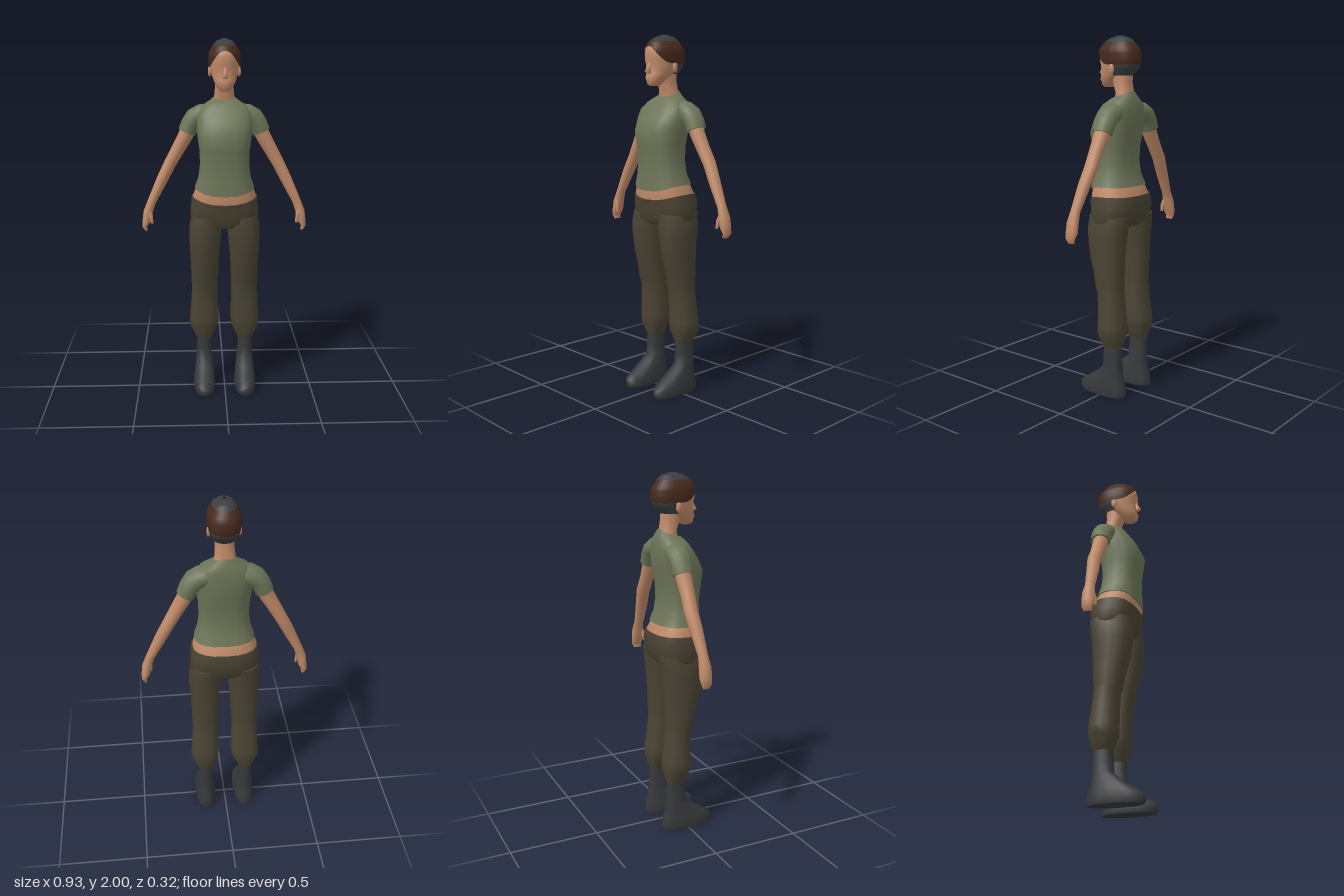
import * as THREE from 'three';

const mat = (name, color, extra = {}) => Object.assign(new THREE.MeshStandardMaterial({ color, ...extra }), { name });

// Rounded-square trig: exponent 2 is an ellipse, higher is boxier.
const sup = (v, e) => Math.sign(v) * Math.pow(Math.abs(v), 2 / e);

// Horizontal cross-section; sag lowers the front, lift raises the back.
function ring(y, cx, rx, zf, zb, { n = 20, e = 2.3, sag = 0, lift = 0 } = {}) {
  const cz = (zf + zb) / 2, rz = (zf - zb) / 2, pts = [];
  for (let j = 0; j < n; j++) {
    const t = (j / n) * Math.PI * 2, c = Math.cos(t), s = Math.sin(t);
    const dy = s > 0 ? -sag * s * s : lift * s * s;
    pts.push([cx + rx * sup(c, e), y + dy, cz + rz * sup(s, e)]);
  }
  return pts;
}

// Cross-sections [x, y, z, ru, rz] square to a path in a plane of constant z.
function limb(path, n = 12) {
  return path.map(([x, y, z, ru, rz], i) => {
    const a = path[Math.max(i - 1, 0)], b = path[Math.min(i + 1, path.length - 1)];
    const l = Math.hypot(b[0] - a[0], b[1] - a[1]);
    const dx = (b[0] - a[0]) / l, dy = (b[1] - a[1]) / l, pts = [];
    for (let j = 0; j < n; j++) {
      const t = (j / n) * Math.PI * 2, u = ru * Math.cos(t);
      pts.push([x + dy * u, y - dx * u, z + rz * Math.sin(t)]);
    }
    return pts;
  });
}

// Smooth skin over rings, with flat caps; side -1 mirrors in x.
function loft(name, rings, material, side = 1, closed = true) {
  const pos = [], idx = [], n = rings[0].length;
  const put = (p) => pos.push(p[0] * side, p[1], p[2]) / 3 - 1;
  const tri = (a, b, c) => (side > 0 ? idx.push(a, b, c) : idx.push(a, c, b));
  rings.forEach((r) => r.forEach(put));
  for (let i = 0; i < rings.length - 1; i++) {
    for (let j = 0; j < (closed ? n : n - 1); j++) {
      const k = (j + 1) % n, a = i * n + j, b = i * n + k;
      tri(a, a + n, b);
      tri(b, a + n, b + n);
    }
  }
  if (closed) {
    [rings[0], rings[rings.length - 1]].forEach((r, end) => {
      const mid = put([0, 1, 2].map((k) => r.reduce((s, p) => s + p[k], 0) / n));
      const first = pos.length / 3;
      r.forEach(put);
      for (let j = 0; j < n; j++) {
        const a = first + j, b = first + ((j + 1) % n);
        end ? tri(mid, b, a) : tri(mid, a, b);
      }
    });
  }
  const g = new THREE.BufferGeometry();
  g.setAttribute('position', new THREE.Float32BufferAttribute(pos, 3));
  g.setIndex(idx);
  g.computeVertexNormals();
  const m = new THREE.Mesh(g, material);
  m.name = name;
  return m;
}

// Outer surface of the hair: [y, rx, zFront, zBack]
const SKULL = [
  [1.785, 0.064, 0.09, -0.09], [1.83, 0.08, 0.1, -0.128], [1.87, 0.087, 0.107, -0.14],
  [1.92, 0.086, 0.109, -0.133], [1.96, 0.064, 0.083, -0.105], [1.985, 0.041, 0.042, -0.078], [1.998, 0.006, 0, -0.03],
];
function skullPoint(t, y) {
  let i = 0;
  while (i < SKULL.length - 2 && y > SKULL[i + 1][0]) i++;
  const a = SKULL[i], b = SKULL[i + 1], f = (y - a[0]) / (b[0] - a[0]);
  const [rx, zf, zb] = [1, 2, 3].map((k) => a[k] + (b[k] - a[k]) * f);
  return [rx * sup(Math.cos(t), 2.3), y, (zf + zb) / 2 + ((zf - zb) / 2) * sup(Math.sin(t), 2.3)];
}
// Patch of hair between two angles and two height rules.
function hairPatch(name, t0, t1, low, high, material) {
  const rings = [];
  for (let i = 0; i <= 8; i++) {
    const pts = [];
    for (let j = 0; j <= 28; j++) {
      const t = t0 + ((t1 - t0) * j) / 28;
      pts.push(skullPoint(t, low(t) + ((high(t) - low(t)) * i) / 8));
    }
    rings.push(pts);
  }
  return loft(name, rings, material, 1, false);
}

export function createModel() {
  const skin = mat('skin', 0xc08a68), shirt = mat('shirt green', 0x6d7558), pants = mat('trouser olive', 0x4a4433);
  const boots = mat('boot charcoal', 0x37383a);
  const brown = mat('hair brown', 0x47291c, { side: THREE.DoubleSide });
  const grey = mat('hair grey', 0x3c3d3f, { side: THREE.DoubleSide });
  const model = new THREE.Group();
  model.name = 'woman';
  const add = (...m) => model.add(...m);

  // Torso
  add(loft('shirtBody', [
    ring(1.19, 0, 0.166, 0.12, -0.128, { sag: 0.035, e: 2.5 }),
    ring(1.25, 0, 0.145, 0.116, -0.106, { sag: 0.015, e: 2.5 }),
    ...[[1.32, 0.136, 0.115, -0.096], [1.4, 0.138, 0.124, -0.1], [1.48, 0.149, 0.135, -0.115],
      [1.55, 0.152, 0.102, -0.122], [1.6, 0.148, 0.068, -0.123], [1.635, 0.127, 0.045, -0.12]]
      .map(([y, rx, f, b]) => ring(y, 0, rx, f, b, { e: 2.6 })),
    ring(1.66, 0, 0.088, 0.024, -0.114, { lift: 0.01 }),
    ring(1.682, 0, 0.058, 0.005, -0.1, { sag: 0.02, lift: 0.022 }),
  ], shirt));
  add(loft('midriff', [
    ring(1.08, 0, 0.178, 0.105, -0.148), ring(1.14, 0, 0.176, 0.114, -0.145, { e: 2.4 }),
    ring(1.21, 0, 0.152, 0.108, -0.112, { e: 2.4 }),
  ], skin));

  // Trousers: hips, then mirrored legs
  add(loft('trouserHips', [
    ring(0.965, 0, 0.15, 0.07, -0.11), ring(0.995, 0, 0.193, 0.102, -0.14, { e: 2.5 }),
    ring(1.08, 0, 0.188, 0.11, -0.16, { e: 2.6 }),
    ring(1.14, 0, 0.183, 0.119, -0.152, { sag: 0.035, e: 2.4 }),
  ], pants));
  for (const s of [1, -1]) {
    const tag = s > 0 ? 'left' : 'right';
    add(loft(tag + 'TrouserLeg', [
      [0.285, 0.119, 0.042, -0.003, -0.112], [0.365, 0.12, 0.08, 0.024, -0.134], [0.41, 0.118, 0.081, 0.025, -0.134],
      [0.5, 0.115, 0.077, 0.026, -0.122], [0.6, 0.113, 0.073, 0.032, -0.112], [0.635, 0.114, 0.075, 0.046, -0.112],
      [0.7, 0.113, 0.077, 0.057, -0.115], [0.8, 0.112, 0.081, 0.086, -0.12], [0.9, 0.11, 0.089, 0.1, -0.126],
      [0.97, 0.106, 0.091, 0.104, -0.137], [1.03, 0.1, 0.086, 0.1, -0.145],
    ].map(([y, cx, rx, f, b]) => ring(y, cx, rx, f, b, { n: 16 })), pants, s));

    // Boot: ankle shaft flowing into the toe
    add(loft(tag + 'Boot', [
      [0.003, 0.118, 0.058, 0.16, -0.138], [0.02, 0.118, 0.062, 0.168, -0.141], [0.05, 0.118, 0.061, 0.166, -0.137],
      [0.075, 0.118, 0.058, 0.128, -0.13], [0.105, 0.118, 0.054, 0.083, -0.122], [0.135, 0.118, 0.05, 0.04, -0.117],
      [0.17, 0.118, 0.046, 0.001, -0.113], [0.23, 0.119, 0.041, -0.002, -0.111], [0.31, 0.119, 0.038, -0.005, -0.108],
    ].map(([y, cx, rx, f, b]) => ring(y, cx, rx, f, b, { n: 14, e: 2.4 })), boots, s));

    // Sleeve, arm with hand, thumb
    add(loft(tag + 'Sleeve', limb([
      [0.07, 1.6, -0.05, 0.05, 0.055], [0.125, 1.588, -0.052, 0.057, 0.066], [0.163, 1.568, -0.055, 0.056, 0.064],
      [0.187, 1.535, -0.057, 0.052, 0.06], [0.206, 1.49, -0.057, 0.05, 0.057],
    ], 14), shirt, s));
    add(loft(tag + 'Arm', limb([
      [0.188, 1.53, -0.056, 0.043, 0.047], [0.217, 1.465, -0.056, 0.041, 0.043], [0.26, 1.39, -0.056, 0.037, 0.038],
      [0.302, 1.315, -0.06, 0.034, 0.038], [0.345, 1.23, -0.051, 0.032, 0.035], [0.408, 1.1, -0.043, 0.024, 0.027],
      [0.43, 1.04, -0.042, 0.026, 0.035], [0.438, 0.99, -0.042, 0.024, 0.036], [0.45, 0.957, -0.042, 0.013, 0.03],
      [0.44, 0.935, -0.04, 0.007, 0.022],
    ]), skin, s));
    add(loft(tag + 'Thumb', limb([
      [0.42, 1.055, -0.025, 0.012, 0.014], [0.412, 1.02, -0.014, 0.012, 0.013], [0.406, 0.982, -0.01, 0.006, 0.008],
    ], 8), skin, s));

    // Ear
    const ear = new THREE.Mesh(new THREE.SphereGeometry(1, 10, 8), skin);
    ear.name = tag + 'Ear';
    ear.scale.set(0.01, 0.028, 0.017);
    ear.position.set(s * 0.08, 1.822, -0.018);
    add(ear);
  }

  // Neck, head and nose
  add(loft('neck', [[1.63, 0.068, -0.005, -0.105], [1.7, 0.054, 0, -0.091], [1.75, 0.05, 0.02, -0.085], [1.81, 0.052, 0.025, -0.085]]
    .map(([y, rx, f, b]) => ring(y, 0, rx, f, b)), skin));
  add(loft('head', [
    [1.723, 0.022, 0.085, 0.035], [1.735, 0.036, 0.102, 0.018], [1.752, 0.047, 0.1, 0], [1.766, 0.055, 0.108, -0.02],
    [1.785, 0.063, 0.1, -0.05], [1.81, 0.071, 0.1, -0.085], [1.84, 0.077, 0.097, -0.11], [1.86, 0.08, 0.104, -0.125],
    [1.9, 0.081, 0.105, -0.125], [1.93, 0.075, 0.098, -0.115], [1.955, 0.055, 0.06, -0.09],
  ].map(([y, rx, f, b]) => ring(y, 0, rx, f, b, { n: 24, e: 2.25 })), skin));
  add(loft('nose', [
    ring(1.79, 0, 0.012, 0.108, 0.085, { n: 8 }), ring(1.802, 0, 0.016, 0.127, 0.085, { n: 8 }),
    ring(1.825, 0, 0.01, 0.114, 0.085, { n: 8 }), ring(1.85, 0, 0.007, 0.103, 0.085, { n: 8 }),
  ], skin));

  // Hair: brown band, grey crown and grey nape
  const hairline = (t) => 1.845 + 0.09 * Math.max(0, Math.sin(t)) ** 3;
  add(hairPatch('hairBand', 0, Math.PI * 2, hairline, () => 1.963, brown));
  add(hairPatch('hairCrown', 0, Math.PI * 2, () => 1.963, () => 1.998, grey));
  add(hairPatch('hairNape', Math.PI * 1.04, Math.PI * 1.96, () => 1.787, hairline, grey));
  return model;
}
